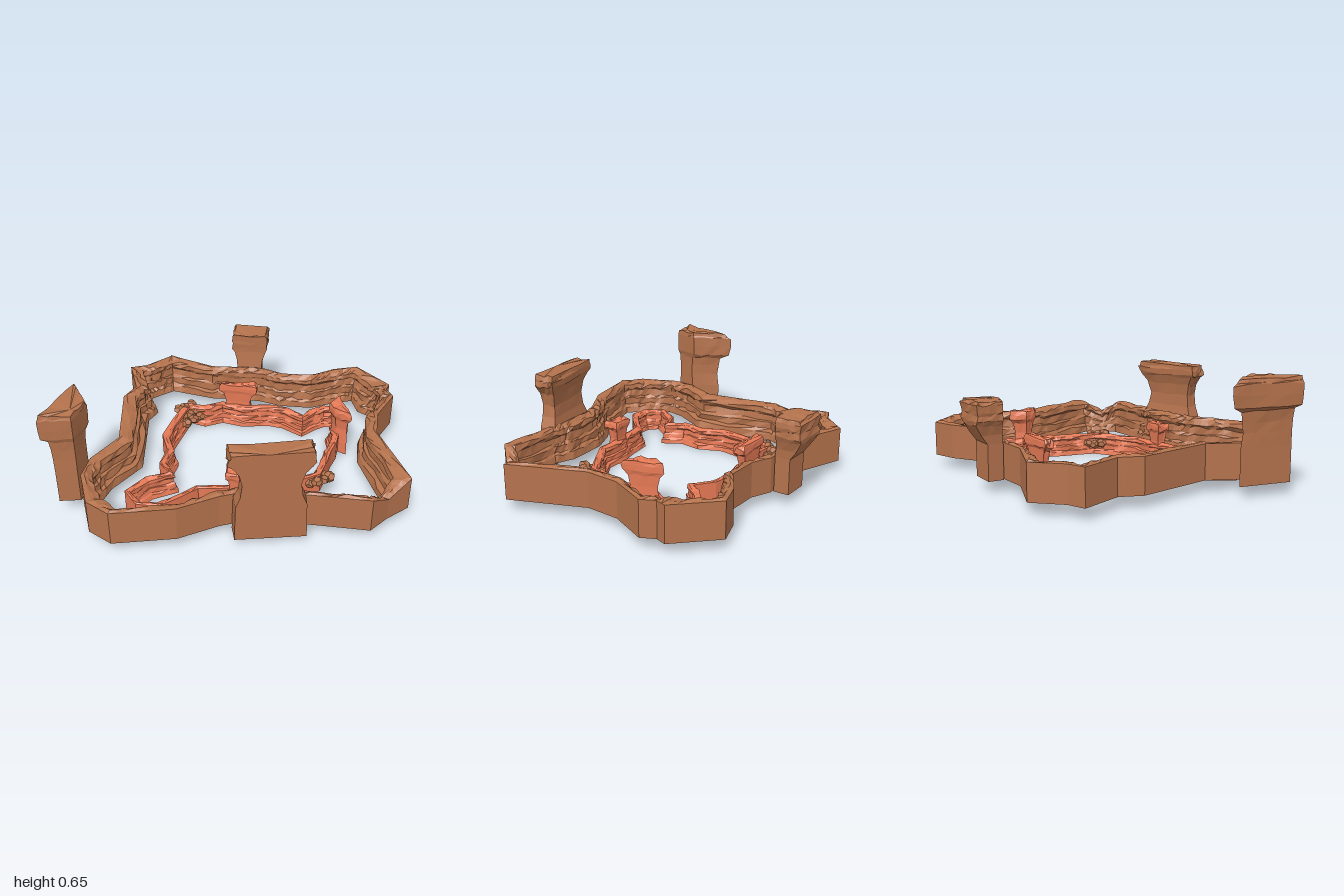
import * as THREE from 'three';

const rockMaterial = (color) => new THREE.MeshStandardMaterial({ color, flatShading: true, side: THREE.DoubleSide });
const brown = rockMaterial(0xb5734d);
const orange = rockMaterial(0xe67a56);

let seed = 7;
const rand = () => ((seed = (seed * 16807) % 2147483647) / 2147483647);
const jitter = (a) => (rand() - 0.5) * 2 * a;
const mix = (a, b, t) => a + (b - a) * t;

// Skin a closed ring of rows (clockwise seen from above); columns follow the profile, open below
function skin(name, grid, material) {
  const rows = grid.length, cols = grid[0].length, index = [];
  for (let i = 0; i < rows; i++) {
    const n = (i + 1) % rows;
    for (let j = 0; j < cols - 1; j++) {
      const a = i * cols + j, c = n * cols + j;
      index.push(a, a + 1, c, a + 1, c + 1, c);
    }
  }
  const geo = new THREE.BufferGeometry();
  geo.setAttribute('position', new THREE.Float32BufferAttribute(grid.flat(2), 3));
  geo.setIndex(index);
  geo.computeVertexNormals();
  const mesh = new THREE.Mesh(geo, material);
  mesh.name = name;
  return mesh;
}

// Cliff section: u runs from the smooth outer edge (0) to the rocky inner foot (1), v is height
const section = [[0, 0], [0, 0.97], [0.2, 1], [0.45, 0.95], [0.62, 0.9], [0.66, 0.78], [0.5, 0.7],
  [0.55, 0.5], [0.7, 0.46], [0.72, 0.26], [0.92, 0.2], [1, 0]];

// Closed cliff wall from pairs of outer and inner points [xo, zo, xi, zi, top]
function wall(name, pairs, y0, y1, material, steps, rough) {
  const grid = [];
  pairs.forEach((p, i) => {
    const q = pairs[(i + 1) % pairs.length];
    for (let s = 0; s < steps; s++) {
      const t = s / steps, at = (k) => mix(p[k], q[k], t);
      const top = mix(p[4] ?? y1, q[4] ?? y1, t);
      grid.push(section.map(([u, v]) => {
        const inside = u > 0 && v > 0;
        const w = u + (inside ? jitter(rough) : 0);
        const y = mix(y0, top, v) + (inside ? jitter(0.04 * (y1 - y0)) : 0);
        return [mix(at(0), at(2), w), y, mix(at(1), at(3), w)];
      }));
    }
  });
  return skin(name, grid, material);
}

// Rock pillar: a plan outline scaled about an anchor at each [height, scale, z scale] level
function pillar(name, plan, anchor, levels, material, rough) {
  const grid = [], steps = 4;
  const all = [...levels, [levels.at(-1)[0], 0]];
  plan.forEach((p, i) => {
    const q = plan[(i + 1) % plan.length];
    for (let s = 0; s < steps; s++) {
      const x = mix(p[0], q[0], s / steps), z = mix(p[1], q[1], s / steps);
      grid.push(all.map(([y, k, kz = k], j) => {
        const upper = j > 2 && k > 0;
        const f = 1 + (upper ? jitter(rough) : 0);
        return [mix(anchor[0], x, k * f), y + (upper ? jitter(0.008) : 0), mix(anchor[1], z, kz * f)];
      }));
    }
  });
  return skin(name, grid, material);
}

// Terraced pile of rocks stepping down towards its front
function rockPile(name, x, y, z, angle) {
  const pile = new THREE.Group();
  pile.name = name;
  for (let i = 0; i < 3; i++) for (let j = 0; j < 3; j++) {
    const rock = new THREE.Mesh(new THREE.DodecahedronGeometry(0.036), brown);
    rock.name = 'rock';
    rock.position.set((i - 1) * 0.05 + jitter(0.006), y - (j - 1) * 0.025 + jitter(0.006), (j - 1) * 0.045);
    rock.rotation.set(jitter(0.5), jitter(0.5), jitter(0.5));
    rock.scale.y = 0.8;
    pile.add(rock);
  }
  pile.position.set(x, 0, z);
  pile.rotation.y = angle;
  return pile;
}

const outerPairs = [
  [-0.56, -0.81, -0.53, -0.68], [-0.26, -0.70, -0.25, -0.62], [-0.08, -0.71, -0.08, -0.63],
  [0.09, -0.71, 0.08, -0.62], [0.21, -0.66, 0.2, -0.58], [0.4, -0.66, 0.41, -0.58],
  [0.55, -0.76, 0.57, -0.66], [0.70, -0.81, 0.68, -0.70], [0.91, -0.60, 0.72, -0.57],
  [0.89, -0.54, 0.80, -0.52], [0.93, -0.46, 0.82, -0.45], [0.83, -0.24, 0.72, -0.2],
  [0.82, -0.04, 0.72, 0], [1, 0.39, 0.85, 0.36], [0.88, 0.50, 0.79, 0.46, 0.215],
  [0.79, 0.61, 0.73, 0.52], [0.45, 0.60, 0.47, 0.53], [0.34, 0.60, 0.35, 0.49], [0.1, 0.62, 0.1, 0.51],
  [-0.02, 0.67, -0.06, 0.58], [-0.23, 0.80, -0.25, 0.71], [-0.57, 0.88, -0.52, 0.79],
  [-0.71, 0.80, -0.62, 0.70], [-0.80, 0.58, -0.71, 0.56], [-0.79, 0.42, -0.68, 0.43],
  [-0.68, 0.2, -0.55, 0.2], [-0.76, -0.25, -0.62, -0.3], [-0.71, -0.38, -0.58, -0.4],
  [-0.80, -0.62, -0.66, -0.56], [-0.70, -0.66, -0.60, -0.62]];

const innerPath = [[-0.38, -0.42], [-0.27, -0.40], [-0.16, -0.46], [-0.02, -0.43], [0.14, -0.46],
  [0.25, -0.44], [0.37, -0.36], [0.43, -0.44], [0.5, -0.49], [0.6, -0.49], [0.63, -0.41], [0.55, -0.29],
  [0.57, -0.2], [0.56, -0.12], [0.53, -0.03], [0.51, 0.08], [0.48, 0.2], [0.35, 0.28], [0.22, 0.36],
  [0.08, 0.36], [-0.05, 0.39], [-0.19, 0.41], [-0.3, 0.52], [-0.38, 0.59], [-0.48, 0.59], [-0.55, 0.51],
  [-0.47, 0.39], [-0.34, 0.32], [-0.41, 0.22], [-0.39, 0.08], [-0.45, -0.07], [-0.42, -0.24]];

// Widen a centre line into outer and inner edges
function widen(path, half) {
  return path.map(([x, z], i) => {
    const a = path.at(i - 1), b = path[(i + 1) % path.length];
    const dx = b[0] - a[0], dz = b[1] - a[1], l = Math.hypot(dx, dz) / half;
    return [x + dz / l, z - dx / l, x - dz / l, z + dx / l];
  });
}

export function createModel() {
  const model = new THREE.Group();
  model.name = 'canyon';
  model.add(
    wall('outerCliff', outerPairs, 0.075, 0.285, brown, 5, 0.07),
    wall('innerCliff', widen(innerPath, 0.032), 0.01, 0.14, orange, 3, 0.08));

  // Tall pillars on the outer cliff
  model.add(
    pillar('frontPillar', [[0.01, 0.64], [0.46, 0.54], [0.48, 0.66], [0.04, 0.75]], [0.26, 0.705],
      [[0.05, 0.87], [0.27, 0.84], [0.33, 0.73], [0.4, 0.69], [0.47, 0.76], [0.52, 0.9], [0.535, 1],
        [0.565, 1.01], [0.575, 0.96], [0.6, 0.94]], brown, 0.03),
    pillar('leftPillar', [[-0.91, 0.19], [-0.78, 0.40], [-0.82, 0.56], [-1, 0.59]], [-0.84, 0.5],
      [[0.075, 0.66, 0.76], [0.28, 0.66, 0.76], [0.36, 0.68, 0.72], [0.42, 0.7, 0.74], [0.48, 0.76, 0.8],
        [0.5, 0.98], [0.56, 1], [0.62, 1], [0.63, 0.94], [0.65, 0.9]], brown, 0.03),
    pillar('backPillar', [[-0.13, -0.88], [0.1, -0.88], [0.1, -0.73], [-0.13, -0.73]], [-0.01, -0.7],
      [[0.075, 0.7, 0.6], [0.28, 0.7, 0.6], [0.33, 0.74, 0.8], [0.385, 0.88, 1], [0.41, 1], [0.44, 0.97],
        [0.46, 1], [0.495, 1], [0.505, 0.93], [0.515, 0.9]], brown, 0.03));

  // Small pillars on the inner cliff
  const small = (top) => [[0.01, 0.75], [0.08, 0.75], [mix(0.01, top, 0.55), 0.65], [mix(0.01, top, 0.75), 0.75],
    [mix(0.01, top, 0.83), 1], [mix(0.01, top, 0.93), 1], [top, 0.9]];
  model.add(
    pillar('innerBackPillar', [[-0.18, -0.51], [0.06, -0.52], [0.06, -0.45], [-0.18, -0.46]],
      [-0.06, -0.48], small(0.285), orange, 0.05),
    pillar('innerFrontPillar', [[-0.02, 0.36], [0.11, 0.36], [0.11, 0.45], [-0.02, 0.44]],
      [0.045, 0.4], small(0.26), orange, 0.05),
    pillar('innerRightPillar', [[0.59, -0.36], [0.67, -0.14], [0.57, -0.19], [0.53, -0.27]],
      [0.6, -0.25], small(0.32), orange, 0.05));

  model.add(
    rockPile('backRockPile', -0.37, 0.09, -0.39, 0.8),
    rockPile('sideRockPile', 0.49, 0.1, 0.22, 3.9));
  return model;
}
